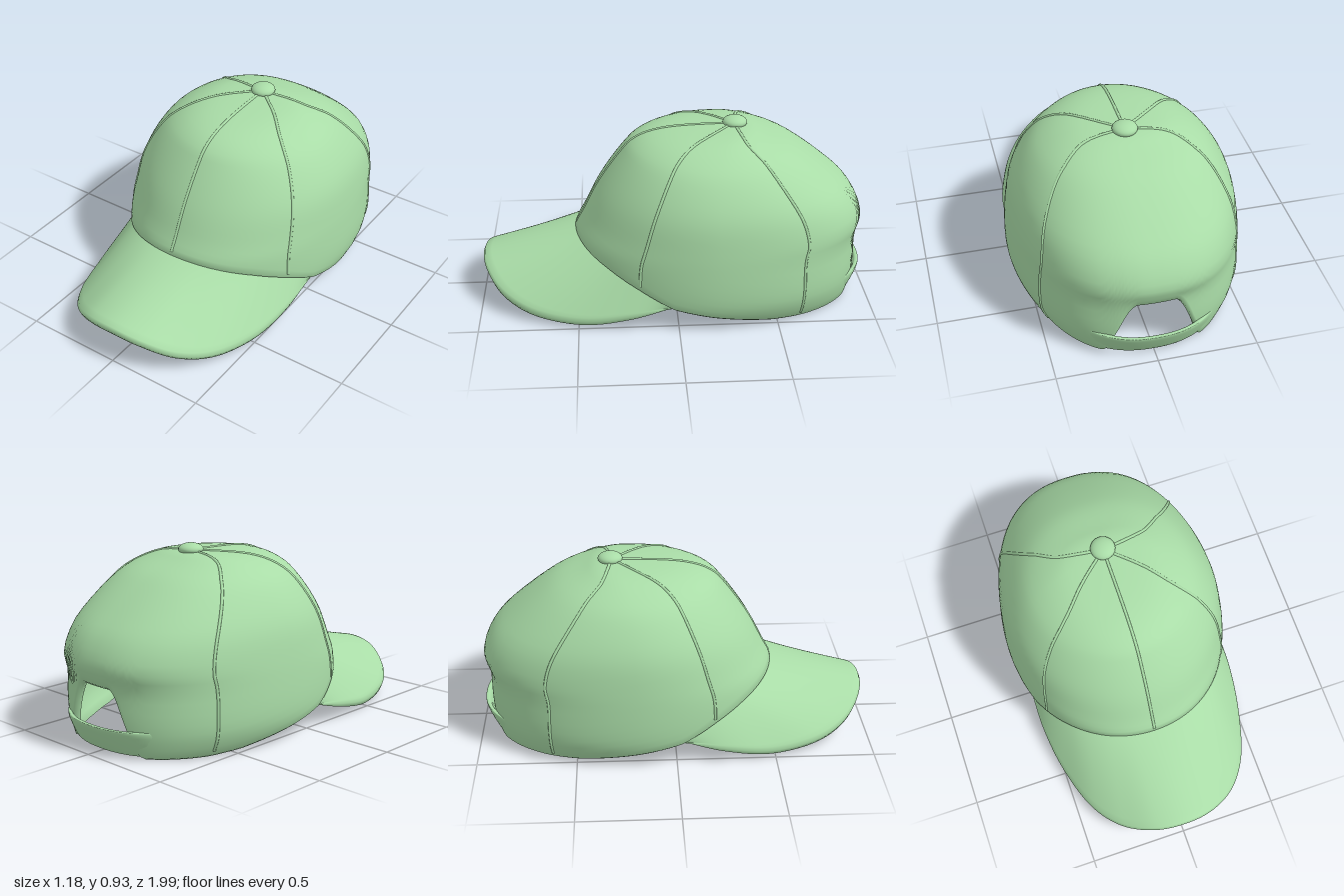
import * as THREE from 'three';
import { mergeVertices } from 'three/addons/utils/BufferGeometryUtils.js';

const V = (x, y, z) => new THREE.Vector3(x, y, z);
const CZ = -0.2; // z of the widest part of the crown

// Crown levels: height, half width, front z, back z
const LEVELS = [
  [0.0, 0.525, 0.5, -0.935], [0.1, 0.577, 0.52, -0.95], [0.2, 0.589, 0.525, -0.955],
  [0.33, 0.583, 0.515, -0.952], [0.43, 0.573, 0.465, -0.978], [0.55, 0.553, 0.405, -0.92],
  [0.65, 0.512, 0.342, -0.812], [0.75, 0.444, 0.268, -0.68], [0.81, 0.372, 0.212, -0.58],
  [0.855, 0.283, 0.12, -0.46], [0.88, 0.18, -0.03, -0.39], [0.89, 0, -0.31, -0.31],
];
const curve = (col) => new THREE.CatmullRomCurve3(
  LEVELS.map((l) => V(l[1], l[0], l[col])), false, 'catmullrom', 0.5);
const frontCurve = curve(2), backCurve = curve(3);

// Lower edge of the crown: z, height
const RIM = [[-1, 0.01], [-0.65, 0.012], [-0.48, 0.027], [-0.18, 0.083], [0.03, 0.127], [0.2, 0.21], [0.35, 0.275], [0.53, 0.34]];
function rimAt(z) {
  let i = 0;
  while (i < RIM.length - 2 && z > RIM[i + 1][0]) i++;
  const [p, q] = [RIM[i], RIM[i + 1]];
  return THREE.MathUtils.lerp(p[1], q[1], THREE.MathUtils.clamp((z - p[0]) / (q[0] - p[0]), 0, 1));
}

// Point on the crown at angle a (0 = front, towards +x) and level u (0 = base, 1 = top)
function crownPoint(a, u) {
  const f = frontCurve.getPoint(u), b = backCurve.getPoint(u);
  const s = Math.sin(a), c = Math.cos(a), e = 1 - 0.12 * Math.max(0, -c);
  const mid = THREE.MathUtils.lerp(CZ, -0.31, Math.pow(u, 6));
  const reach = c > 0 ? f.z - mid : mid - b.z;
  return V(Math.max(0, f.x) * Math.sign(s) * Math.abs(s) ** e, f.y, mid + reach * Math.sign(c) * Math.abs(c) ** e);
}
function levelOf(y) {
  let lo = 0, hi = 1;
  for (let i = 0; i < 22; i++) {
    const m = (lo + hi) / 2;
    if (frontCurve.getPoint(m).y < y) lo = m; else hi = m;
  }
  return lo;
}
const BASE = levelOf(0.2);
function rimLevel(a, withOpening = true) {
  const p = crownPoint(a, BASE);
  let y = rimAt(p.z);
  if (withOpening && p.z < -0.5) { // arch of the rear opening
    y += 0.325 * (1 - THREE.MathUtils.smoothstep(Math.abs(p.x), 0.09, 0.28));
  }
  return levelOf(y);
}

// Smooth surface from a grid of points
function gridSurface(fn, nu, nv) {
  const pos = [], idx = [];
  for (let i = 0; i <= nu; i++) for (let j = 0; j <= nv; j++) pos.push(...fn(i / nu, j / nv, i, j).toArray());
  for (let i = 0; i < nu; i++) for (let j = 0; j < nv; j++) {
    const a = i * (nv + 1) + j, b = a + nv + 1;
    idx.push(a, b, b + 1, a, b + 1, a + 1);
  }
  let g = new THREE.BufferGeometry();
  g.setAttribute('position', new THREE.Float32BufferAttribute(pos, 3));
  g.setIndex(idx);
  g = mergeVertices(g, 1e-5);
  g.computeVertexNormals();
  return g;
}

const inset = (p, k) => V(p.x * k, p.y * (k * 0.5 + 0.5), CZ + (p.z - CZ) * k);

// Closed shell: lining from the top down, rolled rim, outside back up
function crownGeometry() {
  const N = 26, COLS = 240;
  const rims = Array.from({ length: COLS }, (_, i) => rimLevel((i / COLS) * Math.PI * 2));
  return gridSurface((s, _, i, j) => {
    const a = (i % COLS) / COLS * Math.PI * 2, u0 = rims[i % COLS];
    if (j === N + 1) {
      const p = inset(crownPoint(a, u0), 0.975);
      p.y -= 0.01;
      return p;
    }
    const inner = j <= N, k = inner ? 1 - j / N : (j - N - 2) / N;
    const p = crownPoint(a, u0 + (1 - u0) * k);
    return inner ? inset(p, 0.95) : p;
  }, COLS, 2 * N + 2);
}

// Curved brim from the crown's rim to a drooping outline; its underside runs on into the lining
function brimGeometry() {
  const half = [[0.15, 0.15, 0.97], [0.3, 0.088, 0.885], [0.415, 0.04, 0.735], [0.5, 0.022, 0.48], [0.535, 0.065, 0.24], [0.535, 0.122, 0.04]];
  const outline = new THREE.CatmullRomCurve3([
    ...half.map(([x, y, z]) => V(-x, y, z)).reverse(), V(0, 0.172, 0.992), ...half.map((p) => V(...p))]);
  const aMax = 1.23, N = 14;
  return gridSurface((s, _, i, j) => {
    const t = s * 2 - 1, thick = 1 - Math.abs(t) ** 8;
    const outer = outline.getPoint(s);
    if (j === N + 1) { // rounded lip
      return V(outer.x * 1.01, outer.y + 0.022 * thick, outer.z + 0.008 * thick);
    }
    const top = j > N + 1, v = top ? 1 - (j - N - 2) / N : j / N;
    const rim = crownPoint(t * aMax, rimLevel(t * aMax, false));
    const p = inset(rim, top ? 0.985 : 0.94);
    if (!top) p.y -= 0.008;
    p.lerp(outer, v);
    const swell = Math.sin(Math.PI * v) * thick;
    if (top) p.y += 0.042 * v * thick;
    else p.y -= 0.012 * swell;
    return p;
  }, 96, 2 * N + 2);
}

// Strap closing the rear opening, leaning outwards at its upper edge, its ends sunk into the crown
function strapGeometry() {
  const span = 0.6;
  const sq = (n) => Math.sign(n) * Math.abs(n) ** 0.45;
  return gridSurface((s, v) => {
    const t = s * 2 - 1, ang = v * Math.PI * 2;
    const h = sq(Math.sin(ang)), o = sq(Math.cos(ang));
    const p = crownPoint(Math.PI + t * span, levelOf(0.079 + 0.066 * h));
    const fade = (1 - t * t) ** 1.2;
    const k = 0.97 + 0.018 * o + fade * (0.035 + 0.03 * h);
    return V(p.x * k, p.y, CZ + (p.z - CZ) * k);
  }, 48, 24);
}

export function createModel() {
  const cap = new THREE.Group();
  cap.name = 'cap';
  const cloth = new THREE.MeshStandardMaterial({ color: 0xa9dca7 });
  cloth.name = 'soft green cloth';
  const add = (name, geometry) => {
    const m = new THREE.Mesh(geometry, cloth);
    m.name = name;
    cap.add(m);
    return m;
  };

  add('crown', crownGeometry());
  add('brim', brimGeometry());
  add('rearStrap', strapGeometry());

  // Raised seams between the panels: angle at the rim, swing towards the top
  for (const [a, swing] of [[0, 0], [1.0, 0.2], [-1.0, -0.2], [2.15, 0], [-2.15, 0]]) {
    const u0 = rimLevel(a), pts = [];
    for (let i = 0; i <= 18; i++) {
      const k = 0.02 + 0.96 * i / 18;
      pts.push(inset(crownPoint(a + swing * k ** 3, u0 + (1 - u0) * k), 0.996));
    }
    add('seam', new THREE.TubeGeometry(new THREE.CatmullRomCurve3(pts), 64, 0.008, 8));
  }

  // Covered button on top
  const button = add('topButton', new THREE.SphereGeometry(0.063, 24, 14));
  button.scale.y = 0.5;
  button.position.set(0, 0.895, -0.315);
  return cap;
}
